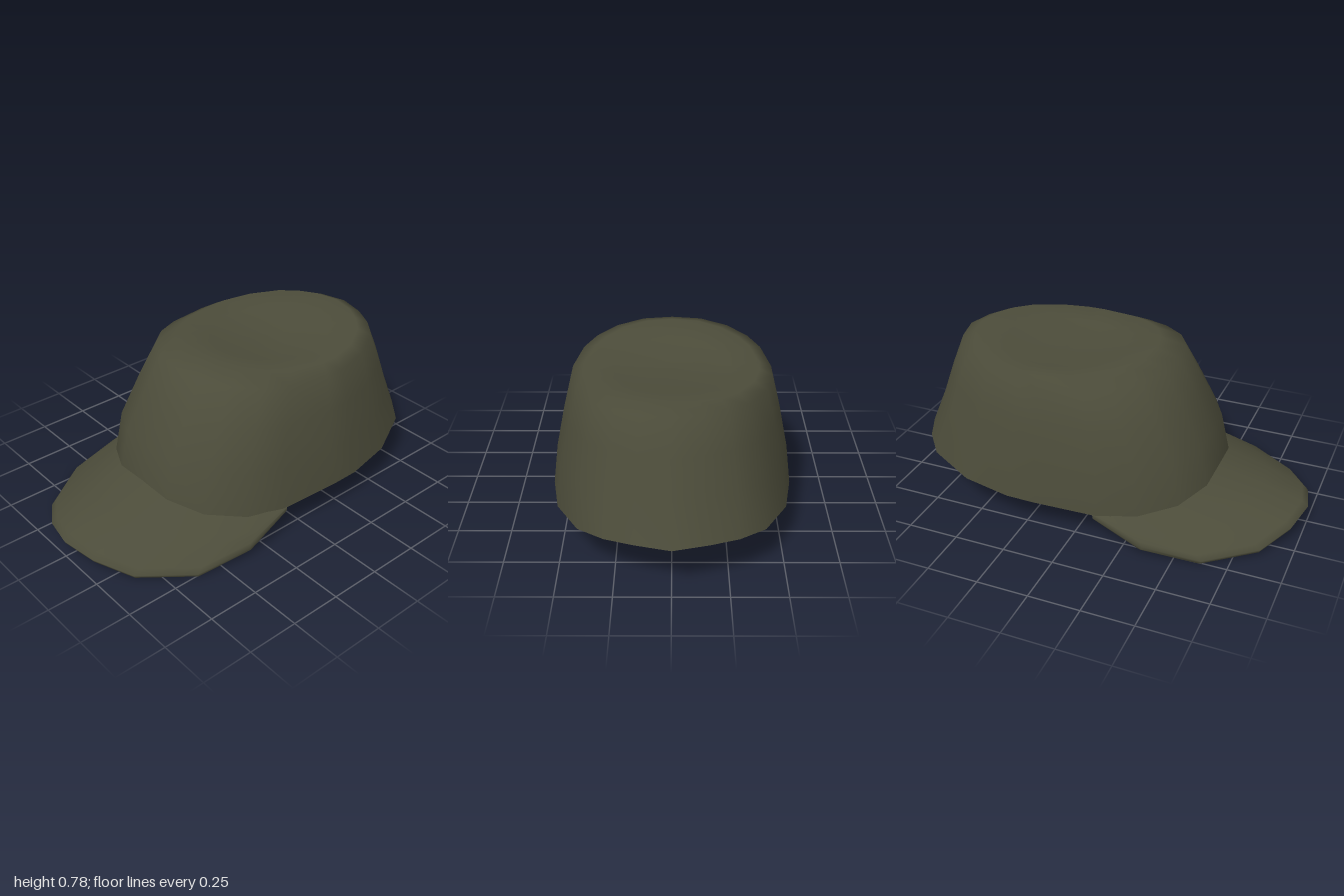
import * as THREE from 'three';

const olive = new THREE.MeshStandardMaterial({ color: 0x4c4c3a, side: THREE.DoubleSide });
olive.name = 'olive cloth';

// Smooth skin over rows of points; closed joins the last column to the first
function skin(name, rows, closed, flip) {
  const n = rows[0].length, index = [];
  for (let i = 0; i < rows.length - 1; i++) {
    for (let j = 0; j < (closed ? n : n - 1); j++) {
      const k = (j + 1) % n;
      const a = i * n + j, b = i * n + k, c = a + n, d = b + n;
      if (flip) index.push(a, d, c, a, b, d);
      else index.push(a, c, d, a, d, b);
    }
  }
  const g = new THREE.BufferGeometry();
  g.setAttribute('position', new THREE.Float32BufferAttribute(rows.flat(2), 3));
  g.setIndex(index);
  g.computeVertexNormals();
  const mesh = new THREE.Mesh(g, olive);
  mesh.name = name;
  return mesh;
}

// Lower edge of the crown, back to front along the left half, then mirrored
const half = [
  [0, 0.25, -1], [0.16, 0.245, -0.95], [0.29, 0.235, -0.89], [0.41, 0.22, -0.79],
  [0.52, 0.19, -0.56], [0.56, 0.177, -0.32], [0.56, 0.175, -0.18], [0.53, 0.16, 0.12],
  [0.47, 0.165, 0.3], [0.35, 0.19, 0.46], [0.18, 0.22, 0.545], [0, 0.23, 0.55],
];
const base = [...half, ...half.slice(1, -1).reverse().map(([x, y, z]) => [-x, y, z])];
const MID = -0.225, LEN = 0.775;

// Ring of the crown: half width, front and back z, heights at front, side and back
function ring(w, zf, zb, yf, ys, yb, round) {
  const c = (zf + zb) / 2, h = (zf - zb) / 2;
  return base.map(([x, , z]) => {
    let u = x / 0.56, v = (z - MID) / LEN;
    const r = Math.hypot(u, v);
    u *= 1 + round * (1 / r - 1); // blend the outline towards an ellipse
    v *= 1 + round * (1 / r - 1);
    return [u * w, ys + ((v > 0 ? yf : yb) - ys) * v * v, c + v * h];
  });
}

function createCrown() {
  const crown = new THREE.Group();
  crown.name = 'crown';
  const upper = [
    ring(0.54, 0.51, -0.915, 0.41, 0.36, 0.44, 0.1),
    ring(0.5, 0.42, -0.85, 0.59, 0.56, 0.6, 0.3),
    ring(0.46, 0.33, -0.78, 0.765, 0.725, 0.755, 0.6),
    ring(0.4, 0.21, -0.71, 0.8, 0.76, 0.785, 0.8),
    ring(0.27, 0.05, -0.55, 0.765, 0.745, 0.76, 1),
    ring(0.12, -0.1, -0.38, 0.742, 0.738, 0.742, 1),
    ring(0, -0.24, -0.24, 0.737, 0.737, 0.737, 1),
  ];
  crown.add(skin('crownShell', [base, ...upper], true, false));

  // Lining with the thin turned edge around the opening
  const inset = (row, drop) => row.map(([x, y, z]) =>
    [x * 0.965, y - drop, MID + (z - MID) * 0.972]);
  const lip = inset(base, 0);
  crown.add(skin('lining', [base, lip, lip, ...upper.map((r) => inset(r, 0.02))], true, true));
  return crown;
}

function createBrim() {
  // Seam against the crown and outer edge, from the left end to the centre
  const seam = [
    [0.52, 0.165, 0.1], [0.5, 0.165, 0.21], [0.46, 0.17, 0.3],
    [0.345, 0.195, 0.45], [0.178, 0.222, 0.537], [0, 0.232, 0.545],
  ];
  const edge = [
    [0.533, 0.16, 0.11], [0.555, 0.08, 0.36], [0.51, 0.045, 0.63],
    [0.34, 0.055, 0.86], [0.17, 0.095, 0.962], [0, 0.115, 1],
  ];
  // Profile: share of the way from seam to edge, and drop below the top face
  const profile = [[0, 0], [0.5, -0.004], [0.93, -0.004], [1, 0.012],
    [0.985, 0.028], [0.93, 0.038], [0.5, 0.034], [0, 0.022]];
  const rows = profile.map(([t, drop]) => {
    const side = seam.map((s, j) => {
      const p = s.map((v, k) => v + (edge[j][k] - v) * t);
      p[1] -= drop * (j === 0 ? 0.5 : 1);
      return p;
    });
    return [...side.map(([x, y, z]) => [-x, y, z]), ...side.slice(0, -1).reverse()];
  });
  return skin('brim', rows, false, false);
}

export function createModel() {
  const cap = new THREE.Group();
  cap.name = 'cap';
  cap.add(createCrown(), createBrim());
  return cap;
}
